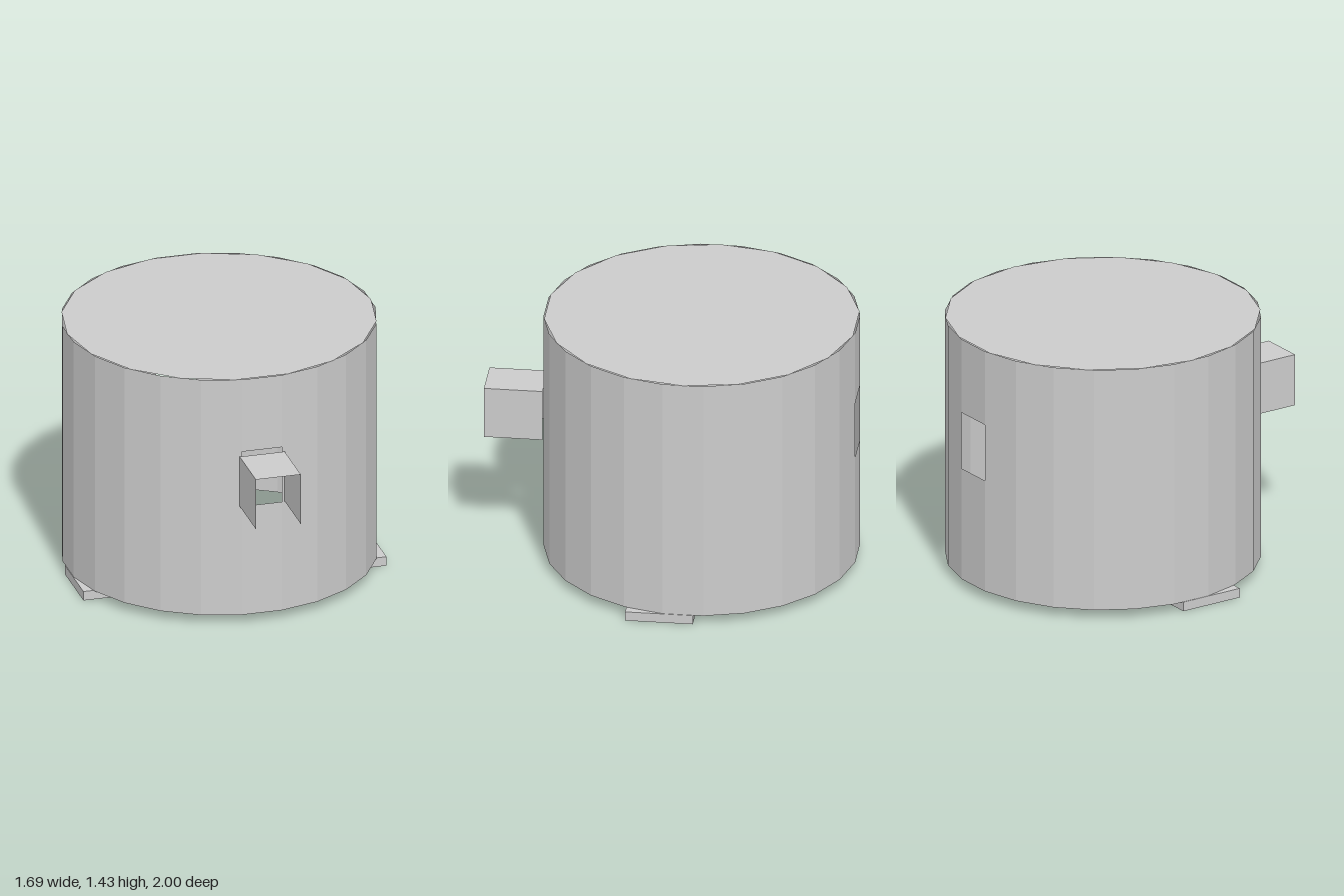
import * as THREE from 'three';

const CENTRE_Z = -0.16;
const WALL_R = 0.847;
const WALL_BOTTOM = 0.052;
const WALL_TOP = 1.427;
const HOLE_BOTTOM = 0.686;
const HOLE_TOP = 1.006;
const FACET = Math.PI / 12; // 24-sided wall

export function createModel() {
  const grey = new THREE.MeshStandardMaterial({ color: 0xcccccc, flatShading: true, side: THREE.DoubleSide });
  grey.name = 'plain grey';

  const model = new THREE.Group();
  model.name = 'drumHouse';

  const add = (parent, name, geometry, x, y, z) => {
    const mesh = new THREE.Mesh(geometry, grey);
    mesh.name = name;
    mesh.position.set(x, y, z);
    parent.add(mesh);
    return mesh;
  };

  // Thin open wall, in bands so that one facet is missing front and back
  const wall = new THREE.Group();
  wall.name = 'wall';
  model.add(wall);
  const band = (name, y0, y1, firstFacet, facets) =>
    add(wall, name,
      new THREE.CylinderGeometry(WALL_R, WALL_R, y1 - y0, facets, 1, true,
        (firstFacet - 0.5) * FACET, facets * FACET),
      0, (y0 + y1) / 2, CENTRE_Z);
  band('lowerWall', WALL_BOTTOM, HOLE_BOTTOM, 0, 24);
  band('leftWall', HOLE_BOTTOM, HOLE_TOP, 1, 11);
  band('rightWall', HOLE_BOTTOM, HOLE_TOP, 13, 11);
  band('upperWall', HOLE_TOP, WALL_TOP, 0, 24);

  // Flat 18-sided lid
  add(model, 'lid', new THREE.CircleGeometry(0.845, 18), 0, WALL_TOP, CENTRE_Z).rotation.x = -Math.PI / 2;

  // Crossbar under the open bottom
  add(model, 'crossbar', new THREE.BoxGeometry(1.686, WALL_BOTTOM, 0.365), 0, WALL_BOTTOM / 2, -0.031);

  // Hood in front of the opening: a roof sheet and two cheeks
  const hood = new THREE.Group();
  hood.name = 'hood';
  model.add(hood);
  const width = 0.25, height = 0.29, depth = 0.316, z = 1 - depth / 2;
  add(hood, 'hoodRoof', new THREE.PlaneGeometry(width, depth), 0, 0.98, z).rotation.x = -Math.PI / 2;
  for (const side of [-1, 1]) {
    add(hood, side > 0 ? 'hoodLeftCheek' : 'hoodRightCheek',
      new THREE.PlaneGeometry(depth, height), side * width / 2, 0.98 - height / 2, z)
      .rotation.y = side * Math.PI / 2;
  }

  return model;
}
